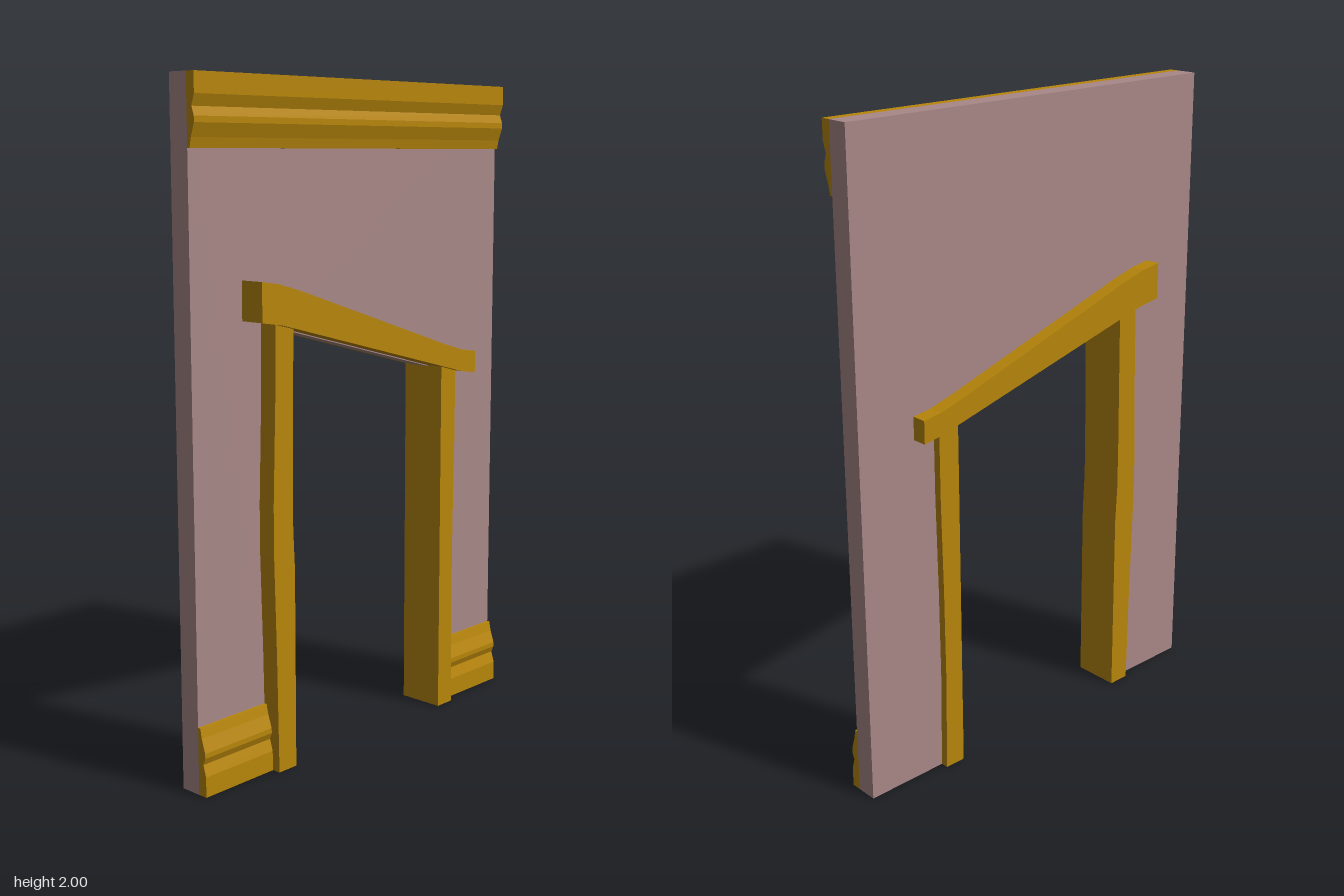
import * as THREE from 'three';

const wood = new THREE.MeshStandardMaterial({ color: 0xb8860b, flatShading: true });
const plaster = new THREE.MeshStandardMaterial({ color: 0xa98888, flatShading: true });

const HALF_W = 0.665;
const WALL_BACK = -0.05;
const WALL_FRONT = 0.017;

// Extrude an outline of [x, y] points between two depths
function slab(name, outline, z0, z1, material) {
  const shape = new THREE.Shape(outline.map(([x, y]) => new THREE.Vector2(x, y)));
  const geometry = new THREE.ExtrudeGeometry(shape, { depth: z1 - z0, bevelEnabled: false });
  geometry.translate(0, 0, z0);
  const mesh = new THREE.Mesh(geometry, material);
  mesh.name = name;
  return mesh;
}

// Run a moulding profile of [z, y] points along x
function moulding(name, profile, x0, x1) {
  const mesh = slab(name, profile.map(([z, y]) => [-z, y]), 0, x1 - x0, wood);
  mesh.geometry.rotateY(Math.PI / 2).translate(x0, 0, 0);
  // the turn maps profile -z onto world +z
  return mesh;
}

export function createModel() {
  const group = new THREE.Group();
  group.name = 'doorwayWall';

  // Wall with a slanted door opening, whose jambs sit inside the posts
  group.add(slab('wall', [
    [-HALF_W, 0], [-0.365, 0], [-0.365, 1.306], [-0.33, 1.297],
    [0.33, 1.122], [0.365, 1.116], [0.365, 0], [HALF_W, 0],
    [HALF_W, 2], [-HALF_W, 2],
  ], WALL_BACK, WALL_FRONT, plaster));

  // Slightly warped door posts
  group.add(slab('rightPost', [
    [-0.402, 0], [-0.332, 0], [-0.332, 0.6], [-0.338, 0.72], [-0.338, 0.85],
    [-0.332, 1.31], [-0.402, 1.33], [-0.406, 1.1], [-0.416, 0.8],
    [-0.416, 0.65], [-0.408, 0.35],
  ], -0.074, 0.074, wood));
  group.add(slab('leftPost', [
    [0.33, 0], [0.398, 0], [0.393, 0.3], [0.395, 0.6], [0.4, 0.9],
    [0.4, 1.12], [0.33, 1.14],
  ], -0.074, 0.074, wood));

  // Crooked lintel beam
  group.add(slab('lintel', [
    [-0.475, 1.33], [-0.4, 1.318], [-0.33, 1.3], [0.33, 1.125], [0.4, 1.106],
    [0.472, 1.094], [0.472, 1.164], [0.41, 1.173], [0.33, 1.196],
    [-0.33, 1.411], [-0.41, 1.433], [-0.475, 1.443],
  ], -0.097, 0.097, wood));

  // Crown moulding along the top of the front
  group.add(moulding('crownMoulding', [
    [WALL_FRONT, 1.802], [0.026, 1.802], [0.032, 1.83], [0.045, 1.868],
    [0.045, 1.885], [0.036, 1.91], [0.047, 1.942], [0.047, 2], [WALL_FRONT, 2],
  ], -HALF_W, HALF_W));

  // Skirting boards either side of the door
  const skirting = [
    [WALL_FRONT, 0], [0.047, 0], [0.047, 0.06], [0.037, 0.095], [0.045, 0.115],
    [0.045, 0.13], [0.032, 0.17], [0.026, 0.2], [WALL_FRONT, 0.2],
  ];
  group.add(moulding('rightSkirting', skirting, -HALF_W, -0.39));
  group.add(moulding('leftSkirting', skirting, 0.39, HALF_W));

  return group;
}
